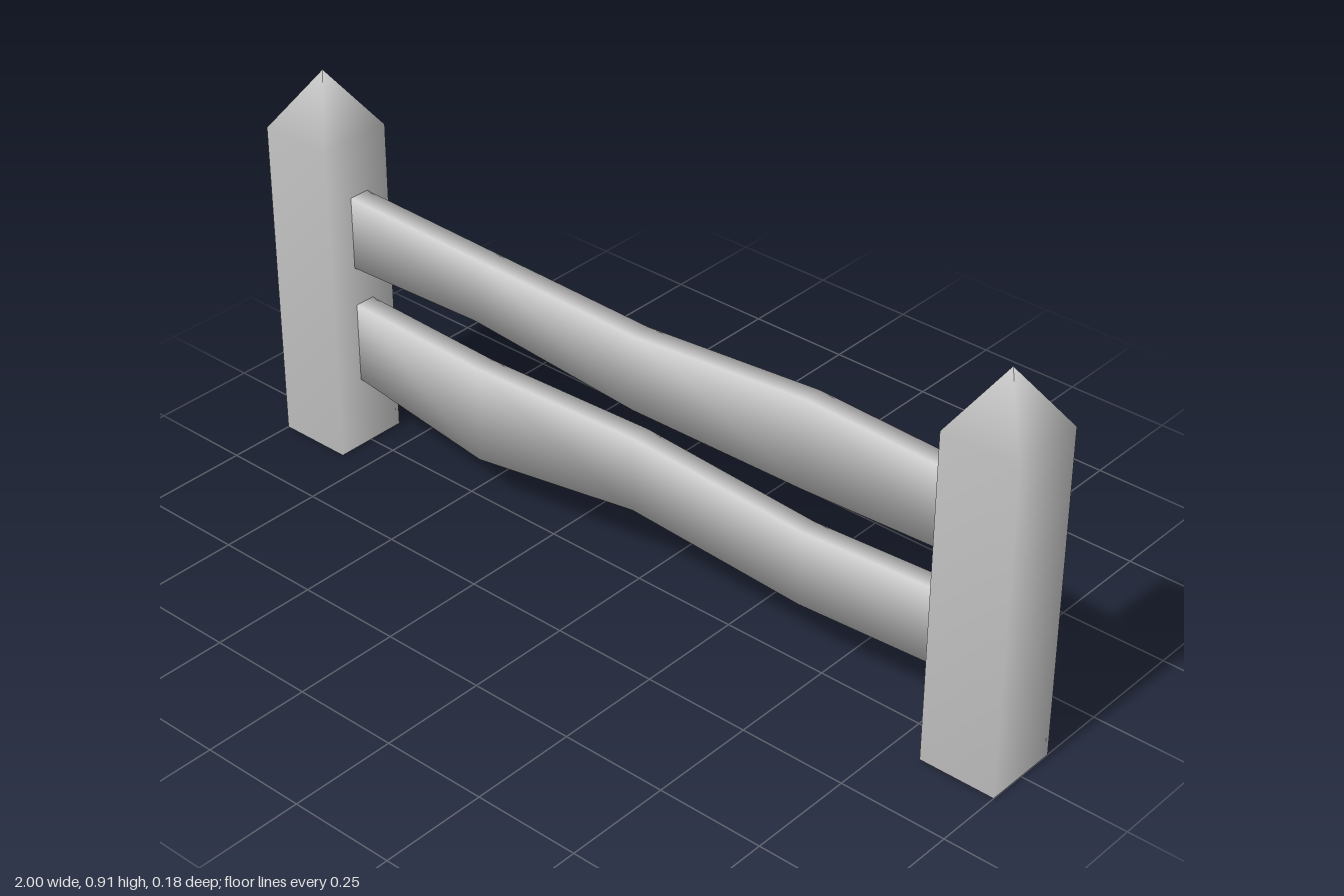
import * as THREE from 'three';

const material = new THREE.MeshStandardMaterial({ color: 0xcccccc, side: THREE.DoubleSide });

// Square post with a pyramid tip, open underneath
function makePost(name, x) {
  const r = 0.09 * Math.SQRT2;
  const profile = [[r, 0], [r, 0.773], [0, 0.909]].map(([a, b]) => new THREE.Vector2(a, b));
  const post = new THREE.Mesh(new THREE.LatheGeometry(profile, 4, Math.PI / 4), material);
  post.name = name;
  post.position.x = x;
  return post;
}

// Wavy plank: a four-cornered section carried along x; stations are [x, bottom, top, back]
function makeRail(name, stations) {
  const positions = [], normals = [], index = [];
  const front = 0.021;
  for (const [x, bottom, top, back] of stations) {
    positions.push(x, bottom, front, x, top, front, x, top, back, x, bottom, back);
    // Corner normals point diagonally so the plank shades as rounded
    for (const [ny, nz] of [[-1, 1], [1, 1], [1, -1], [-1, -1]]) {
      normals.push(0, ny * Math.SQRT1_2, nz * Math.SQRT1_2);
    }
  }
  for (let i = 0; i < stations.length - 1; i++) {
    for (let j = 0; j < 4; j++) {
      const a = i * 4 + j, b = i * 4 + (j + 1) % 4;
      index.push(a, a + 4, b, b, a + 4, b + 4);
    }
  }
  // End caps
  const e = (stations.length - 1) * 4;
  index.push(0, 1, 2, 0, 2, 3, e, e + 2, e + 1, e, e + 3, e + 2);

  const geometry = new THREE.BufferGeometry();
  geometry.setAttribute('position', new THREE.Float32BufferAttribute(positions, 3));
  geometry.setAttribute('normal', new THREE.Float32BufferAttribute(normals, 3));
  geometry.setIndex(index);
  const rail = new THREE.Mesh(geometry, material);
  rail.name = name;
  return rail;
}

export function createModel() {
  const fence = new THREE.Group();
  fence.name = 'fence';
  fence.add(
    makePost('leftPost', 0.91),
    makePost('rightPost', -0.91),
    makeRail('upperRail', [
      [-0.83, 0.46, 0.636, -0.028],
      [-0.45, 0.472, 0.626, -0.028],
      [0, 0.437, 0.615, -0.028],
      [0.45, 0.442, 0.653, -0.025],
      [0.83, 0.457, 0.64, -0.024],
    ]),
    makeRail('lowerRail', [
      [-0.83, 0.173, 0.366, -0.028],
      [-0.45, 0.117, 0.352, -0.028],
      [0, 0.187, 0.367, -0.028],
      [0.45, 0.161, 0.34, -0.025],
      [0.83, 0.181, 0.361, -0.024],
    ]),
  );
  return fence;
}
